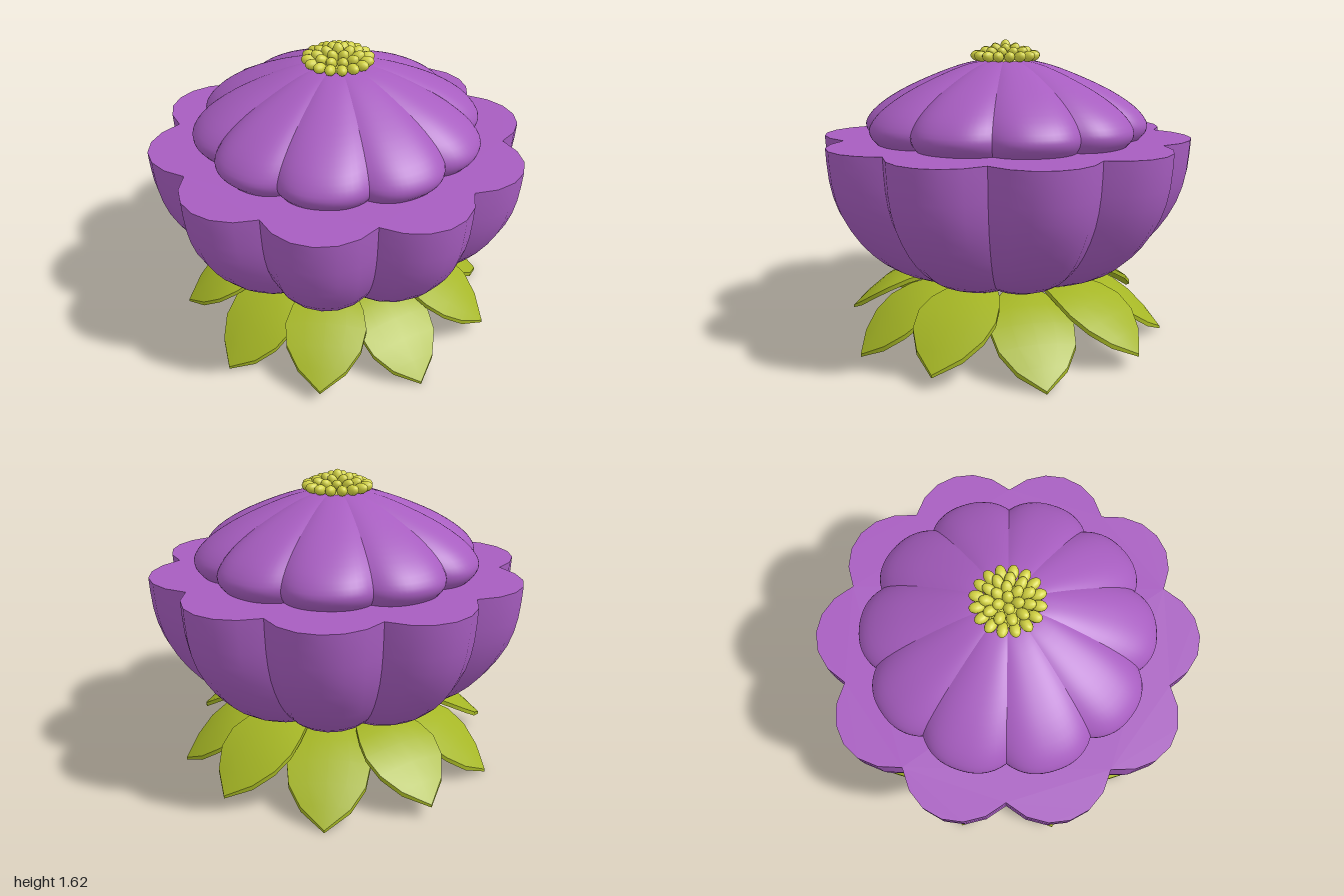
import * as THREE from 'three';
import { toCreasedNormals } from 'three/addons/utils/BufferGeometryUtils.js';

const LOBES = 10;
const STEP = (Math.PI * 2) / LOBES;

const lobe = (t, depth, power) => 1 - depth * Math.pow(Math.abs(t), power);

// Grid of points to an indexed geometry; rows climb and columns run to the right
function gridGeometry(rows, cols, point) {
  const pos = [], idx = [];
  for (let j = 0; j <= rows; j++)
    for (let i = 0; i <= cols; i++) pos.push(...point(i, j));
  for (let j = 0; j < rows; j++)
    for (let i = 0; i < cols; i++) {
      const a = j * (cols + 1) + i, b = a + 1, c = a + cols + 1, d = c + 1;
      idx.push(a, b, c, b, d, c);
    }
  const g = new THREE.BufferGeometry();
  g.setAttribute('position', new THREE.Float32BufferAttribute(pos, 3));
  g.setIndex(idx);
  g.computeVertexNormals();
  return g;
}

// One bulging petal spanning a tenth of a turn, following a [radius, height] profile
function petalGeometry(profile, rows, cols, depth, power) {
  const curve = new THREE.SplineCurve(profile.map(p => new THREE.Vector2(...p)));
  const pts = curve.getPoints(rows);
  return gridGeometry(rows, cols, (i, j) => {
    const t = (2 * i) / cols - 1, a = (t * STEP) / 2;
    const r = pts[j].x * lobe(t, depth, power);
    return [r * Math.sin(a), pts[j].y, r * Math.cos(a)];
  });
}

// Flat scalloped disc
function scallopGeometry(radius, cols, depth, power) {
  const pts = [];
  for (let k = 0; k < LOBES; k++)
    for (let i = 0; i < cols; i++) {
      const t = (2 * i) / cols - 1, a = k * STEP + (t * STEP) / 2;
      const r = radius * lobe(t, depth, power);
      pts.push(new THREE.Vector2(r * Math.sin(a), r * Math.cos(a)));
    }
  return new THREE.ShapeGeometry(new THREE.Shape(pts));
}

// Leaf from cross-sections: each row is [radius, height, half width, thickness]
function sepalGeometry(rows) {
  const across = [-1, -0.5, 0, 0.5, 1];
  const ring = [...across.map(s => [s, 0]), ...across.map(s => [-s, 1]), [-1, 0]];
  const n = rows.length - 1;
  const g = gridGeometry(n, ring.length - 1, (i, j) => {
    const [r, y, w, th] = rows[n - j];
    const [s, under] = ring[i];
    return [s * w, y - 0.1 * w * s * s - under * th, r];
  });
  return toCreasedNormals(g, 0.6);
}

export function createModel() {
  const model = new THREE.Group();
  const material = (name, color) => {
    const m = new THREE.MeshStandardMaterial({ color });
    m.name = name;
    return m;
  };
  const purple = material('petal purple', 0xa75dc0);
  const green = material('leaf green', 0xa5b625);
  const yellow = material('stamen yellow', 0xd3d342);

  const group = name => {
    const g = new THREE.Group();
    g.name = name;
    model.add(g);
    return g;
  };
  const add = (parent, name, geometry, mat) => {
    const m = new THREE.Mesh(geometry, mat);
    m.name = name;
    parent.add(m);
    return m;
  };

  // Outer bowl of petals, with flat rim and base
  const bowl = group('petalBowl');
  const bowlPetal = petalGeometry([[0.43, 0.335], [0.595, 0.4], [0.73, 0.485],
    [0.85, 0.61], [0.945, 0.77], [0.988, 0.93], [1, 1.1]], 12, 6, 0.13, 2);
  const rim = add(bowl, 'bowlTop', scallopGeometry(1, 6, 0.13, 2), purple);
  rim.position.y = 1.1;
  rim.rotation.x = -Math.PI / 2;
  const base = add(bowl, 'bowlBase', scallopGeometry(0.43, 6, 0.13, 2), purple);
  base.position.y = 0.335;
  base.rotation.x = Math.PI / 2;

  // Inner dome of petals
  const dome = group('petalDome');
  const domePetal = petalGeometry([[0.725, 1.1], [0.757, 1.14], [0.757, 1.19],
    [0.695, 1.263], [0.57, 1.345], [0.41, 1.42], [0.25, 1.48], [0.13, 1.505], [0, 1.51]],
    24, 16, 0.09, 2.5);

  // Drooping sepals, alternating low and high
  const sepals = group('sepals');
  const lowSepal = sepalGeometry([[0.28, 0.325, 0.06, 0], [0.29, 0.33, 0.065, 0.02],
    [0.4, 0.325, 0.135, 0.025], [0.5, 0.3, 0.185, 0.025], [0.61, 0.25, 0.215, 0.025],
    [0.71, 0.18, 0.195, 0.025], [0.8, 0.1, 0.125, 0.025], [0.88, 0.015, 0, 0.015]]);
  const highSepal = sepalGeometry([[0.28, 0.345, 0.06, 0], [0.29, 0.35, 0.065, 0.02],
    [0.42, 0.355, 0.145, 0.025], [0.52, 0.338, 0.19, 0.025], [0.62, 0.3, 0.215, 0.025],
    [0.72, 0.24, 0.195, 0.025], [0.81, 0.165, 0.125, 0.025], [0.893, 0.08, 0, 0.015]]);

  for (let k = 0; k < LOBES; k++) {
    const a = k * STEP;
    add(bowl, 'bowlPetal', bowlPetal, purple).rotation.y = a;
    add(dome, 'domePetal', domePetal, purple).rotation.y = a;
    add(sepals, 'sepal', k % 2 ? highSepal : lowSepal, green).rotation.y = a;
  }

  // Stamens: rings of oval tips leaning outward, more upright near the middle
  const stamens = group('stamens');
  const tip = new THREE.SphereGeometry(1, 12, 8);
  const disc = add(stamens, 'stamenBase', new THREE.CylinderGeometry(0.11, 0.13, 0.025, 24), yellow);
  disc.position.y = 1.51;
  // count, radius, height, lean from upright
  const rings = [[16, 0.148, 1.53, 1.4], [11, 0.1, 1.547, 1.0], [6, 0.052, 1.56, 0.6], [1, 0, 1.575, 0]];
  rings.forEach(([count, r, y, lean], ringIndex) => {
    for (let k = 0; k < count; k++) {
      const spoke = new THREE.Group();
      spoke.name = 'stamen';
      spoke.rotation.y = ((k + (ringIndex % 2) * 0.5) / count) * Math.PI * 2;
      const m = add(spoke, 'stamenTip', tip, yellow);
      m.scale.set(0.028, 0.04, 0.028);
      m.position.set(0, y, r);
      m.rotation.x = lean;
      stamens.add(spoke);
    }
  });
  return model;
}
